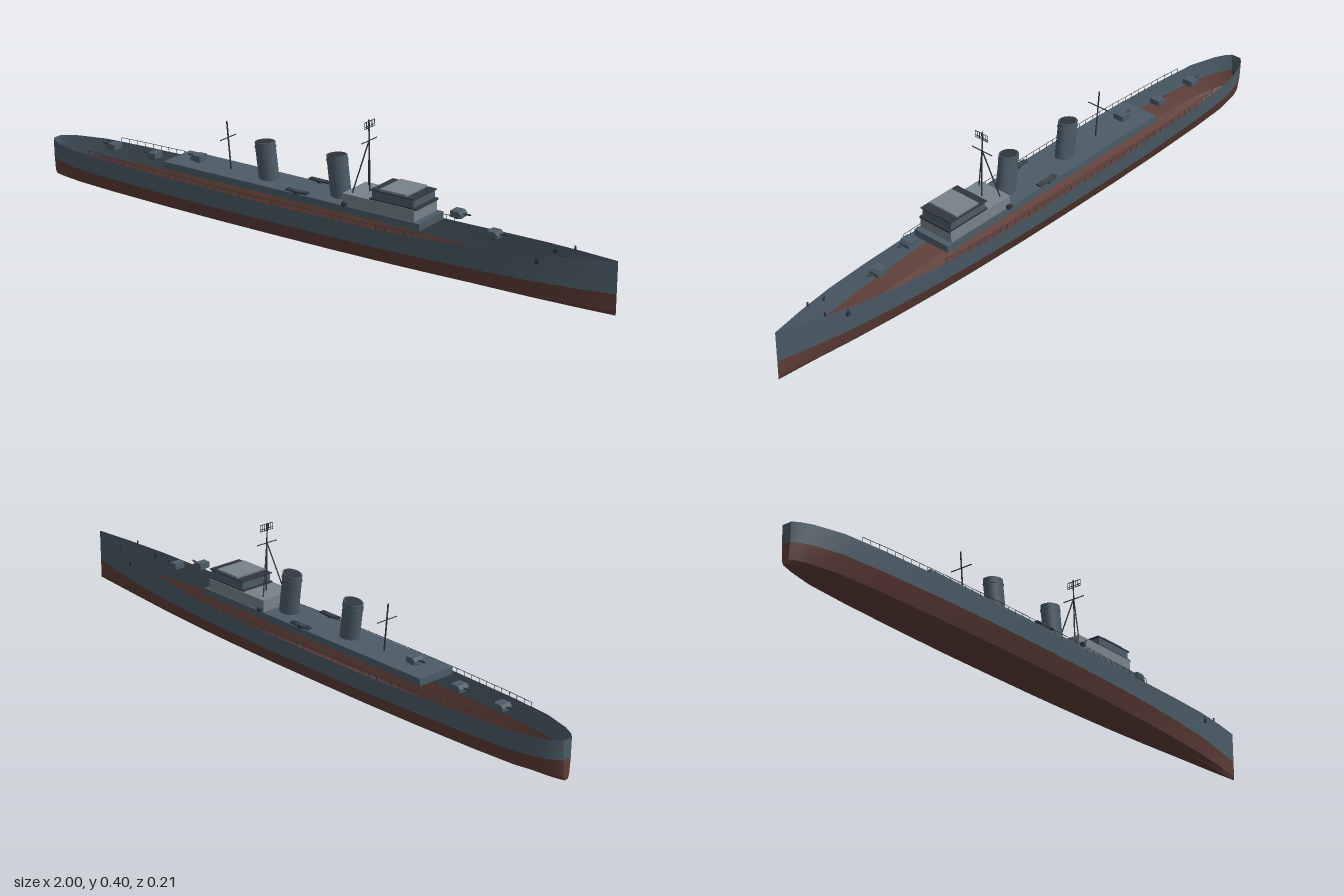
import * as THREE from 'three';

export function createModel() {
  const ship = new THREE.Group();
  ship.name = 'warship';
  const paint = (name, color, side = THREE.FrontSide) => {
    const m = new THREE.MeshStandardMaterial({ color, side });
    m.name = name;
    return m;
  };
  const grey = paint('hull grey', 0x4b5b67, THREE.DoubleSide);
  const red = paint('underwater red', 0x5e3d37, THREE.DoubleSide);
  const light = paint('light grey', 0x77828a);
  const dark = paint('dark grey', 0x30373d);

  function add(name, geo, mat, x = 0, y = 0, z = 0, parent = ship) {
    const m = new THREE.Mesh(geo, mat);
    m.name = name;
    m.position.set(x, y, z);
    parent.add(m);
    return m;
  }
  // box given by its x range, y range and half width
  const block = (name, x0, x1, y0, y1, hw, mat) =>
    add(name, new THREE.BoxGeometry(x1 - x0, y1 - y0, hw * 2), mat, (x0 + x1) / 2, (y0 + y1) / 2, 0);
  // thin round bar between two points
  function rod(name, a, b, r, mat = dark, parent = ship) {
    const p = new THREE.Vector3(...a), q = new THREE.Vector3(...b);
    const m = add(name, new THREE.CylinderGeometry(r, r, p.distanceTo(q), 6), mat, 0, 0, 0, parent);
    m.position.copy(p).add(q).multiplyScalar(0.5);
    m.quaternion.setFromUnitVectors(new THREE.Vector3(0, 1, 0), q.sub(p).normalize());
    return m;
  }

  // ---- hull: open-topped shell lofted between waterlines ----
  const plan = [[-1, 0.016], [-0.985, 0.03], [-0.95, 0.049], [-0.86, 0.075], [-0.72, 0.088], [-0.5, 0.099],
    [-0.3, 0.104], [-0.1, 0.104], [0.1, 0.102], [0.3, 0.095], [0.45, 0.086], [0.6, 0.073],
    [0.75, 0.055], [0.88, 0.03], [1, 0.0005]];
  const sheer = x => 0.117 + 0.041 * Math.pow(Math.max(0, (x - 0.25) / 0.75), 1.5) + 0.004 * Math.max(0, -x - 0.3);
  const halfWidth = x => {
    let i = 1;
    while (i < plan.length - 1 && plan[i][0] < x) i++;
    const [a, b] = [plan[i - 1], plan[i]];
    return a[1] + (b[1] - a[1]) * (x - a[0]) / (b[0] - a[0]);
  };
  function loft(name, lower, upper, mat) {
    const pos = [], idx = [];
    plan.forEach(([x, w], i) => {
      pos.push(...lower(x, w), ...upper(x, w));
      if (i) {
        const k = 2 * i;
        idx.push(k - 2, k, k + 1, k - 2, k + 1, k - 1);
      }
    });
    const g = new THREE.BufferGeometry();
    g.setAttribute('position', new THREE.Float32BufferAttribute(pos, 3));
    g.setIndex(idx);
    g.computeVertexNormals();
    add(name, g, mat);
  }
  const levels = [[() => 0, 0.36], [() => 0.012, 0.7], [() => 0.061, 0.93], [sheer, 1]];
  const edge = (k, s) => (x, w) => [x, levels[k][0](x), s * w * levels[k][1]];
  loft('hullBottom', edge(0, -1), edge(0, 1), red);
  for (let k = 0; k < 3; k++) {
    const mat = k < 2 ? red : grey;
    loft('hullSideLeft', edge(k, 1), edge(k + 1, 1), mat);
    loft('hullSideRight', edge(k + 1, -1), edge(k, -1), mat);
    // narrow stern plate
    const [y0, y1] = [levels[k][0](-1), levels[k + 1][0](-1)];
    const t = new THREE.PlaneGeometry(1, y1 - y0);
    const p = t.attributes.position;
    for (let i = 0; i < 4; i++) {
      const f = levels[p.getY(i) > 0 ? k + 1 : k][1];
      p.setX(i, Math.sign(p.getX(i)) * 0.016 * f);
    }
    add('sternPlate', t, mat, -1, (y0 + y1) / 2, 0).rotation.y = -Math.PI / 2;
  }

  // ---- deckhouse and bridge ----
  block('deckhouse', -0.515, 0.405, 0.13, 0.152, 0.064, grey);
  block('bridgeBase', 0.14, 0.385, 0.152, 0.188, 0.06, light);
  block('bridgePlatform', 0.232, 0.39, 0.186, 0.192, 0.058, dark);
  block('bridgeHouse', 0.24, 0.38, 0.192, 0.216, 0.055, grey);
  block('bridgeRoofEdge', 0.235, 0.385, 0.216, 0.219, 0.058, dark);
  block('bridgeRoof', 0.265, 0.355, 0.219, 0.225, 0.053, light);

  // ---- raked oval funnels ----
  for (const [x, top] of [[0.095, 0.277], [-0.165, 0.266]]) {
    const h = top - 0.15;
    const funnel = new THREE.Group();
    funnel.name = 'funnel';
    funnel.position.set(x, 0.15, 0);
    funnel.rotation.z = 0.13;
    ship.add(funnel);
    const oval = (name, r, len, y, mat) => {
      add(name, new THREE.CylinderGeometry(r, r, len, 24), mat, 0, y, 0, funnel).scale.x = 1.3;
    };
    oval('funnelCasing', 0.0255, h, h / 2, grey);
    oval('funnelBand', 0.0268, 0.005, h - 0.016, grey);
    oval('funnelMouth', 0.022, 0.002, h + 0.001, dark);
  }

  // ---- gun mounts: position and firing direction ----
  for (const [x, y, dir] of [[-0.765, 0.127, -1], [-0.605, 0.13, -1], [-0.43, 0.157, -1], [0.495, 0.177, 1], [0.615, 0.143, 1]]) {
    const gun = new THREE.Group();
    gun.name = 'gunMount';
    gun.position.set(x, y, 0);
    gun.scale.x = dir;
    ship.add(gun);
    add('gunBase', new THREE.CylinderGeometry(0.014, 0.014, 0.006, 12), dark, 0, -0.001, 0, gun);
    const shape = new THREE.Shape();
    [[-0.018, 0], [0.017, 0], [0.017, 0.01], [0.009, 0.018], [-0.018, 0.018]]
      .forEach((c, i) => (i ? shape.lineTo(...c) : shape.moveTo(...c)));
    add('gunShield', new THREE.ExtrudeGeometry(shape, { depth: 0.036, bevelEnabled: false }), grey, 0, 0, -0.018, gun);
    rod('gunBarrel', [0.01, 0.009, 0], [0.04, 0.011, 0], 0.0025, dark, gun);
  }

  // ---- torpedo tubes along both sides ----
  for (const s of [1, -1]) {
    add('tubeBase', new THREE.CylinderGeometry(0.009, 0.009, 0.006, 12), dark, -0.022, 0.154, s * 0.058);
    add('tubeHousing', new THREE.BoxGeometry(0.035, 0.007, 0.016), grey, -0.022, 0.158, s * 0.058);
    for (const d of [-0.006, 0, 0.006])
      rod('torpedoTube', [-0.058, 0.159, s * 0.058 + d], [0.016, 0.159, s * 0.058 + d], 0.0032);
    // light guns beside the bridge
    add('lightGun', new THREE.BoxGeometry(0.014, 0.01, 0.014), dark, 0.15, 0.158, s * 0.064);
    rod('lightGunBarrel', [0.15, 0.16, s * 0.064], [0.152, 0.168, s * 0.078], 0.0015);
  }

  // ---- masts ----
  rod('foremast', [0.195, 0.188, 0], [0.189, 0.402, 0], 0.0022);
  for (const s of [1, -1]) rod('tripodLeg', [0.162, 0.188, s * 0.041], [0.191, 0.342, 0], 0.002);
  rod('foremastYard', [0.191, 0.34, -0.038], [0.191, 0.34, 0.038], 0.0018);
  rod('mainmast', [-0.307, 0.152, 0], [-0.321, 0.3, 0], 0.0024);
  rod('mainmastYard', [-0.317, 0.25, -0.038], [-0.317, 0.25, 0.038], 0.0018);
  // lattice aerial at the foremast head
  for (const y of [0.379, 0.385, 0.399]) rod('aerialBar', [0.192, y, -0.024], [0.192, y, 0.024], 0.0012);
  for (let i = 0; i <= 6; i++) {
    const z = -0.024 + i * 0.008;
    rod('aerialUpright', [0.192, 0.379, z], [0.192, 0.399, z], 0.0009);
  }

  // ---- deck-edge rails, anchors and bollards ----
  for (const s of [1, -1]) {
    const at = (x, h) => [x, sheer(x) + h, s * (halfWidth(x) - 0.002)];
    const n = 41, step = 0.03;
    for (let i = 0; i <= n; i++) {
      const x = -0.8 + i * step;
      rod('railPost', at(x, -0.002), at(x, 0.014), 0.0008);
      if (i < n) rod('rail', at(x, 0.014), at(x + step, 0.014), 0.0008);
    }
    const z = halfWidth(0.78) + 0.001;
    add('anchor', new THREE.BoxGeometry(0.012, 0.012, 0.006), dark, 0.78, 0.122, s * z);
    rod('anchorShank', [0.78, 0.12, s * z], [0.78, 0.138, s * z], 0.0018);
    rod('bollard', [0.85, 0.145, s * 0.034], [0.85, 0.157, s * 0.034], 0.003);
  }
  return ship;
}
